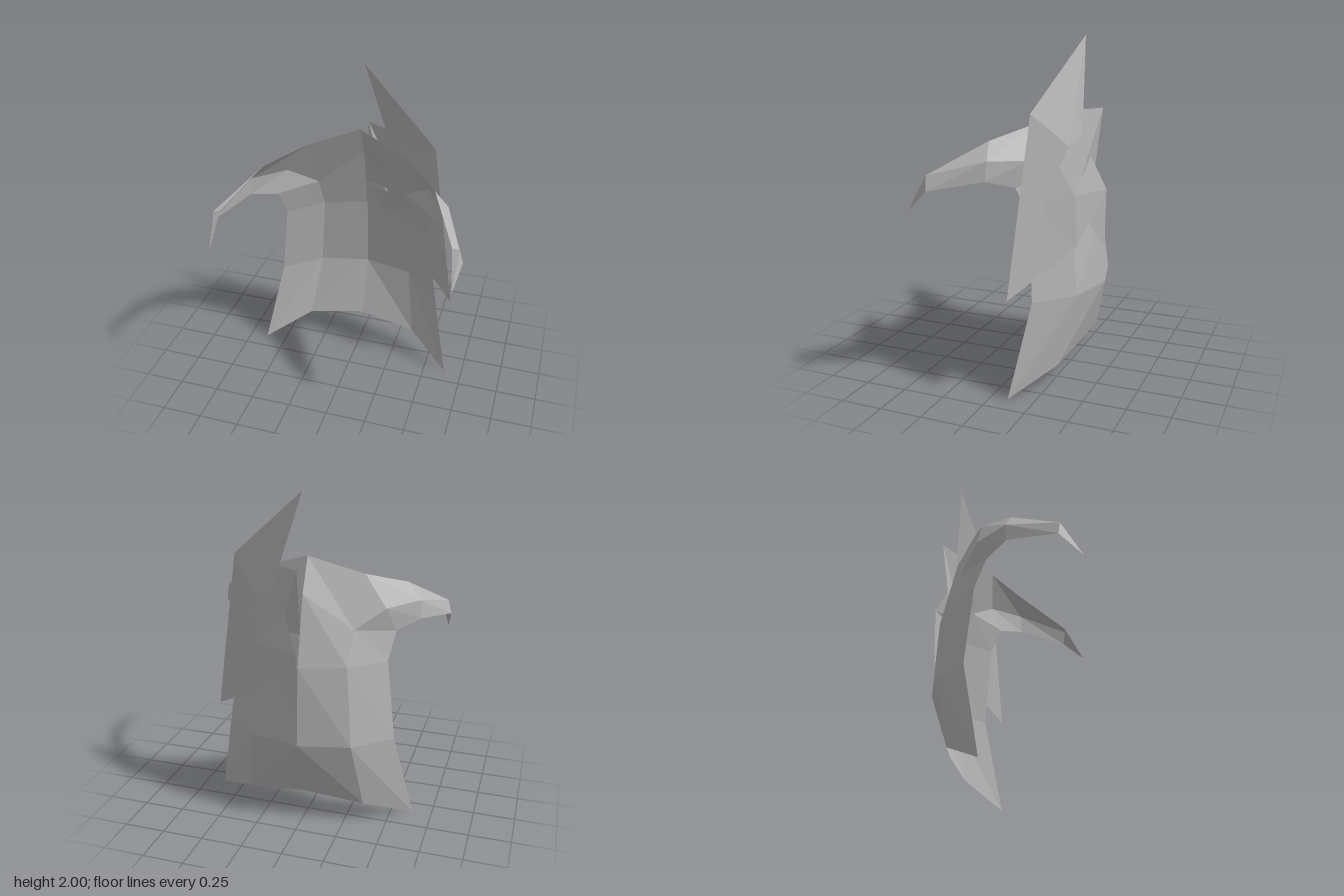
import * as THREE from 'three';

const slate = new THREE.MeshStandardMaterial({ color: 0xb4b4b4, flatShading: true, side: THREE.DoubleSide });
slate.name = 'cloth grey';

// Faceted sheet from named corner points; each face is a string of point names (fanned).
function sheet(name, points, faces, mirror = 1) {
  const pos = [];
  for (const face of faces) {
    const names = face.split(' ');
    for (let i = 1; i < names.length - 1; i++) {
      const tri = [names[0], names[i], names[i + 1]];
      if (mirror < 0) tri.reverse();
      for (const n of tri) pos.push(points[n][0] * mirror, points[n][1], points[n][2]);
    }
  }
  const geo = new THREE.BufferGeometry();
  geo.setAttribute('position', new THREE.Float32BufferAttribute(pos, 3));
  geo.computeVertexNormals();
  const mesh = new THREE.Mesh(geo, slate);
  mesh.name = name;
  return mesh;
}

// One half of the cloak: centre, middle and side columns, then the collar arm and its claw
const cloak = {
  c0: [0, 0.18, -0.34], m0: [0.365, 0.13, -0.3], s0: [0.635, 0, -0.1],
  c1: [0, 0.545, -0.46], m1: [0.305, 0.545, -0.39], s1: [0.52, 0.545, -0.2],
  c2: [0, 1.02, -0.43], m2: [0.265, 1.02, -0.34], s2: [0.46, 1.02, -0.16],
  c3: [0, 1.43, -0.33], m3: [0.28, 1.22, -0.26], s3: [0.49, 1.185, -0.09],
  rim0: [0, 1.625, -0.235], rim1: [0.31, 1.52, -0.14], rim2: [0.52, 1.44, 0.05], rim3: [0.68, 1.27, 0.335],
  fold1: [0.44, 1.33, -0.15], fold2: [0.6, 1.34, 0.03], fold3: [0.722, 1.262, 0.335],
  low2: [0.615, 1.23, 0.035], low3: [0.745, 1.18, 0.325],
  tip: [0.715, 1.055, 0.457],
};
const bodyFaces = [
  'c1 c0 m0', 'c1 m0 m1', 'm1 m0 s0 s1',
  'c2 c1 m1', 'c2 m1 m2', 'm2 m1 s1 s2',
  'c3 c2 m2 m3', 'm3 m2 s2 s3', 'm3 s3 fold1',
];
const collarFaces = [
  'rim0 c3 m3', 'rim0 m3 rim1', 'rim1 m3 fold1',
  'rim1 fold1 fold2 rim2', 'fold1 s3 low2 fold2',
  'rim2 fold2 fold3 rim3', 'fold2 low2 low3 fold3',
];
const clawFaces = ['rim3 fold3 tip', 'fold3 low3 tip', 'low3 rim3 tip'];

// Jagged blades driven through the left half of the cloak
const blade = {
  peak: [0, 2, -0.32], shoulder: [0.47, 1.59, -0.17], point: [0.64, 0.58, -0.1],
  root: [0.29, 1.4, -0.325], back: [0.17, 1.45, -0.365], ledge: [0.25, 1.59, -0.325],
  v: [0, 1.59, -0.43], g0: [0, 1.18, -0.38], g1: [0.14, 1.18, -0.335], g2: [0.02, 0.82, -0.42],
  w: [0.49, 1.115, -0.18], x: [0, 1.115, -0.46], pit: [0.27, 1.115, -0.36],
  spur: [0.09, 1.32, -0.39], k: [0.27, 0.82, -0.37], n: [0, 0.76, -0.455], h: [0.16, 0.94, -0.385],
};

export function createModel() {
  const model = new THREE.Group();
  model.name = 'tatteredCloak';
  for (const [side, mirror] of [['left', 1], ['right', -1]]) {
    model.add(sheet(side + 'Cloak', cloak, bodyFaces, mirror));
    model.add(sheet(side + 'Collar', cloak, collarFaces, mirror));
    model.add(sheet(side + 'Claw', cloak, clawFaces, mirror));
  }
  // Tall spike above the collar
  model.add(sheet('upperSpike', blade, ['peak root shoulder', 'peak back root', 'peak shoulder back']));
  // Plate behind the shoulder, tucked into the lower plate
  model.add(sheet('upperPlate', blade, ['shoulder w pit', 'shoulder pit v', 'v pit g1 g0', 'g0 g1 g2']));
  // Long outer blade
  model.add(sheet('sideBlade', blade, ['shoulder root point', 'shoulder point w']));
  // Lower plate with its small spur and ledge
  model.add(sheet('lowerPlate', blade, ['w point k pit', 'x pit k h', 'x h n', 'x spur pit', 'w pit x']));
  return model;
}
